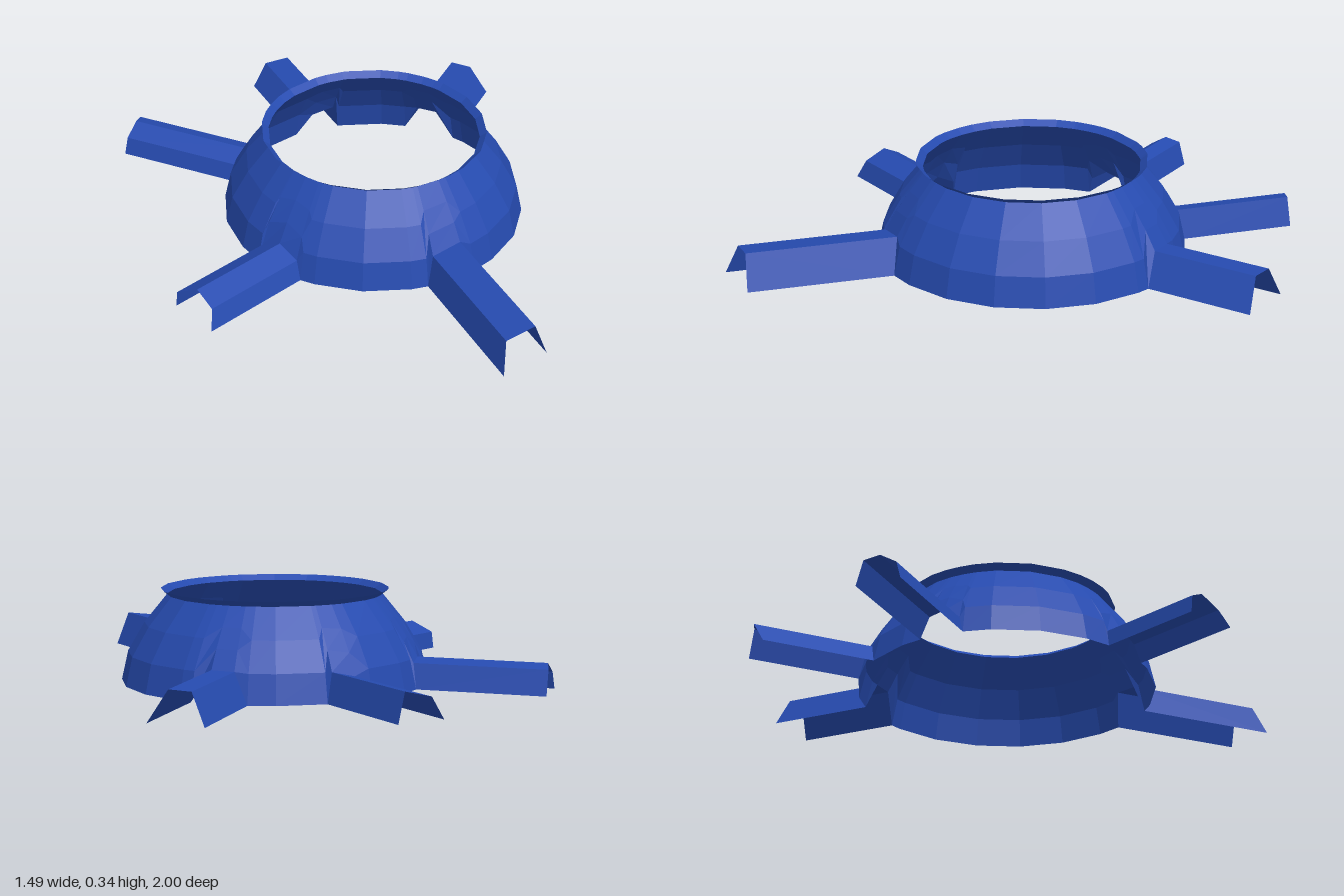
import * as THREE from 'three';

const CENTER = { x: 0.19, z: -0.055 };
const NECK_Y = 0.315;

// Dome profile as [height, radius]
const PROFILE = [[0, 0.56], [0.11, 0.535], [0.21, 0.475], [NECK_Y, 0.39]];

function domeRadius(y) {
  for (let i = 1; i < PROFILE.length; i++) {
    const [y0, r0] = PROFILE[i - 1], [y1, r1] = PROFILE[i];
    if (y <= y1) return THREE.MathUtils.lerp(r0, r1, (y - y0) / (y1 - y0));
  }
  return PROFILE[PROFILE.length - 1][1];
}

// Tunnels: outward direction [x, z] and the corners [x, y, z] of the open outer end
const TUNNELS = [
  { name: 'frontLeftTunnel', dir: [0.353, 0.936],
    end: [[0.53, 0, 0.997], [0.54, 0.108, 0.945], [0.645, 0.125, 0.895], [0.693, 0, 0.884]] },
  { name: 'frontRightTunnel', dir: [-0.764, 0.645],
    end: [[-0.434, 0, 0.688], [-0.43, 0.068, 0.65], [-0.478, 0.105, 0.585], [-0.548, 0.064, 0.54], [-0.554, 0, 0.534]] },
  { name: 'sideTunnel', dir: [-0.88, -0.474],
    end: [[-0.748, 0, -0.46], [-0.735, 0.064, -0.475], [-0.7, 0.105, -0.53], [-0.685, 0.09, -0.585], [-0.672, 0, -0.608]] },
  { name: 'backRightTunnel', dir: [-0.367, -0.93],
    end: [[-0.222, 0, -0.94], [-0.17, 0.085, -0.98], [-0.08, 0.105, -0.985], [-0.055, 0, -1]] },
  { name: 'backLeftTunnel', dir: [0.474, -0.88],
    end: [[0.56, 0, -0.935], [0.595, 0.11, -0.888], [0.665, 0.112, -0.842], [0.735, 0, -0.825]] },
];

// Slide an end corner inwards along the tunnel until it meets the dome
function meetDome([x, y, z], [ux, uz]) {
  const len = Math.hypot(ux, uz), dx = ux / len, dz = uz / len;
  const px = x - CENTER.x, pz = z - CENTER.z, r = domeRadius(y);
  const b = px * dx + pz * dz;
  const t = b - Math.sqrt(b * b - (px * px + pz * pz - r * r));
  return [x - t * dx, y, z - t * dz];
}

// Surface through a list of equally long rows of points
function skin(rows, material, name) {
  const index = [], n = rows[0].length;
  for (let i = 0; i + 1 < rows.length; i++) {
    for (let j = 0; j + 1 < n; j++) {
      const a = i * n + j, b = a + n;
      index.push(a, a + 1, b, b, a + 1, b + 1);
    }
  }
  const geometry = new THREE.BufferGeometry();
  geometry.setAttribute('position', new THREE.Float32BufferAttribute(rows.flat(2), 3));
  geometry.setIndex(index);
  geometry.computeVertexNormals();
  const mesh = new THREE.Mesh(geometry, material);
  mesh.name = name;
  return mesh;
}

const ringPoint = (angle, radius, y) =>
  [CENTER.x + radius * Math.cos(angle), y, CENTER.z + radius * Math.sin(angle)];

export function createModel() {
  const group = new THREE.Group();
  group.name = 'domeWithTunnels';
  const blue = new THREE.MeshStandardMaterial({ color: 0x264bb0, side: THREE.DoubleSide, flatShading: true });
  blue.name = 'blue';

  // Tunnels, open underneath and at both ends
  const columns = [], spans = [];
  for (const { name, dir, end } of TUNNELS) {
    const inner = end.map((p) => meetDome(p, dir));
    group.add(skin([inner, end], blue, name));
    const doorway = inner.map(([x, y, z]) => ({ angle: Math.atan2(z - CENTER.z, x - CENTER.x), y }));
    columns.push(...doorway);
    const angles = doorway.map((d) => d.angle);
    spans.push([Math.min(...angles) - 0.08, Math.max(...angles) + 0.08]);
  }

  // Plain dome columns between the doorways
  const SIDES = 20;
  for (let i = 0; i < SIDES; i++) {
    const angle = -Math.PI + ((i + 0.5) / SIDES) * Math.PI * 2;
    if (!spans.some(([a, b]) => angle > a && angle < b)) columns.push({ angle, y: 0 });
  }
  columns.sort((a, b) => a.angle - b.angle);
  columns.push(columns[0]);

  // Dome shell, its lower edge rising over each doorway
  const STEPS = 3;
  const shell = columns.map(({ angle, y }) =>
    Array.from({ length: STEPS + 1 }, (_, k) => {
      const h = THREE.MathUtils.lerp(y, NECK_Y, k / STEPS);
      return ringPoint(angle, domeRadius(h), h);
    }));
  group.add(skin(shell, blue, 'dome'));

  // Flared lip around the top opening
  const lip = columns.map(({ angle }) => [ringPoint(angle, 0.39, NECK_Y), ringPoint(angle, 0.415, 0.335)]);
  group.add(skin(lip, blue, 'rim'));

  return group;
}
